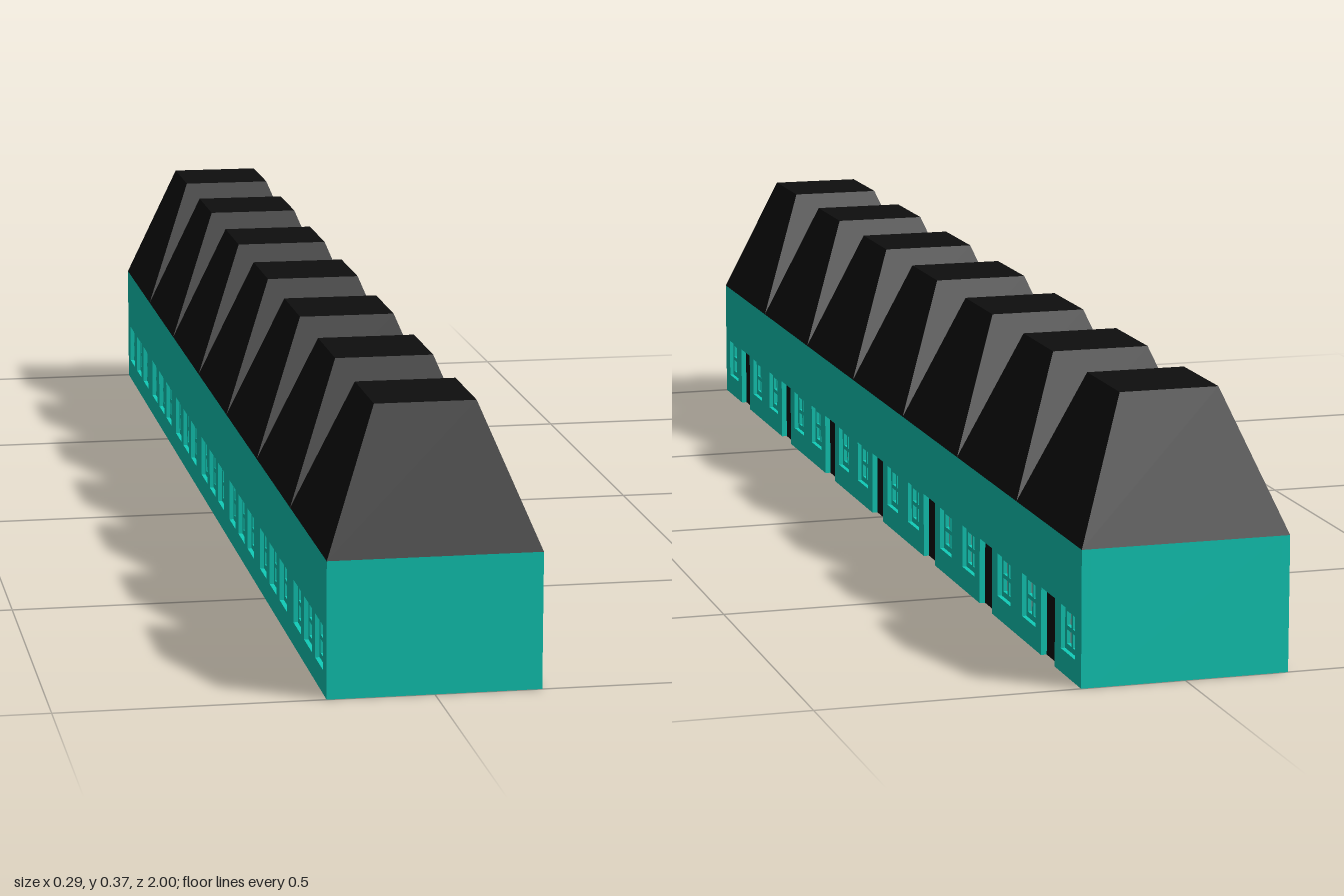
import * as THREE from 'three';

const HOUSES = 7, LENGTH = 2, PITCH = LENGTH / HOUSES, HALF = PITCH / 2;
const WALL_H = 0.185, ROOF_H = 0.188, ROOF_TOP = 0.068;
const SKIN = 0.012;                       // depth of window and door recesses
const WIN = 0.06, WIN_Y = 0.062, WIN_X = 0.086, DOOR_W = 0.06, DOOR_H = 0.093;

const mat = (color) => new THREE.MeshStandardMaterial({ color, flatShading: true });

function rect(Type, cx, cy, w, h) {
  const p = new Type();
  p.moveTo(cx - w / 2, cy - h / 2);
  p.lineTo(cx + w / 2, cy - h / 2);
  p.lineTo(cx + w / 2, cy + h / 2);
  p.lineTo(cx - w / 2, cy + h / 2);
  p.closePath();
  return p;
}

const extrude = (shape, depth) => new THREE.ExtrudeGeometry(shape, { depth, bevelEnabled: false });

export function createModel() {
  const model = new THREE.Group();
  model.name = 'terraceOfHouses';
  const wallMat = mat(0x10ccb8), blackMat = mat(0x0e0e0e), glassMat = mat(0xcccccc);
  const centres = Array.from({ length: HOUSES }, (_, i) => (i - (HOUSES - 1) / 2) * PITCH);

  const add = (parent, name, geometry, material, x, y, z) => {
    const mesh = new THREE.Mesh(geometry, material);
    mesh.name = name;
    mesh.position.set(x, y, z);
    parent.add(mesh);
    return mesh;
  };

  // Solid body behind the two pierced long walls
  add(model, 'body', new THREE.BoxGeometry(2 * (HALF - SKIN), WALL_H, LENGTH), wallMat, 0, WALL_H / 2, 0);

  // Four-pane window frame
  const frameShape = rect(THREE.Shape, 0, 0, WIN, WIN);
  for (const sx of [-1, 1]) for (const sy of [-1, 1])
    frameShape.holes.push(rect(THREE.Path, sx * 0.0125, sy * 0.0125, 0.019, 0.019));
  const frameGeo = extrude(frameShape, 0.006);
  const glassGeo = new THREE.PlaneGeometry(WIN, WIN);
  const doorGeo = new THREE.BoxGeometry(DOOR_W, DOOR_H, 0.004);

  // Long wall facing local +z, with its openings
  function facade(name, hasDoors) {
    const side = new THREE.Group();
    side.name = name;
    const wall = new THREE.Shape();
    wall.moveTo(-LENGTH / 2, 0);
    if (hasDoors) for (const c of centres) {
      wall.lineTo(c - DOOR_W / 2, 0);
      wall.lineTo(c - DOOR_W / 2, DOOR_H);
      wall.lineTo(c + DOOR_W / 2, DOOR_H);
      wall.lineTo(c + DOOR_W / 2, 0);
    }
    wall.lineTo(LENGTH / 2, 0);
    wall.lineTo(LENGTH / 2, WALL_H);
    wall.lineTo(-LENGTH / 2, WALL_H);
    wall.closePath();

    const base = HALF - SKIN;
    const offsets = hasDoors ? [-WIN_X, WIN_X] : [-WIN_X, 0, WIN_X];
    for (const c of centres) {
      for (const o of offsets) {
        wall.holes.push(rect(THREE.Path, c + o, WIN_Y, WIN, WIN));
        add(side, 'windowGlass', glassGeo, glassMat, c + o, WIN_Y, base + 0.001);
        add(side, 'windowFrame', frameGeo, wallMat, c + o, WIN_Y, base);
      }
      if (hasDoors) add(side, 'door', doorGeo, blackMat, c, DOOR_H / 2, base + 0.002);
    }
    add(side, 'longWall', extrude(wall, SKIN), wallMat, 0, 0, base);
    model.add(side);
    return side;
  }
  facade('doorSide', true).rotation.y = Math.PI / 2;
  facade('windowSide', false).rotation.y = -Math.PI / 2;

  // One flat-topped hipped roof per house
  const roofGeo = new THREE.CylinderGeometry(ROOF_TOP * Math.SQRT2, HALF * Math.SQRT2, ROOF_H, 4);
  roofGeo.rotateY(Math.PI / 4);
  for (const c of centres) add(model, 'roof', roofGeo, blackMat, 0, WALL_H + ROOF_H / 2, c);

  return model;
}
